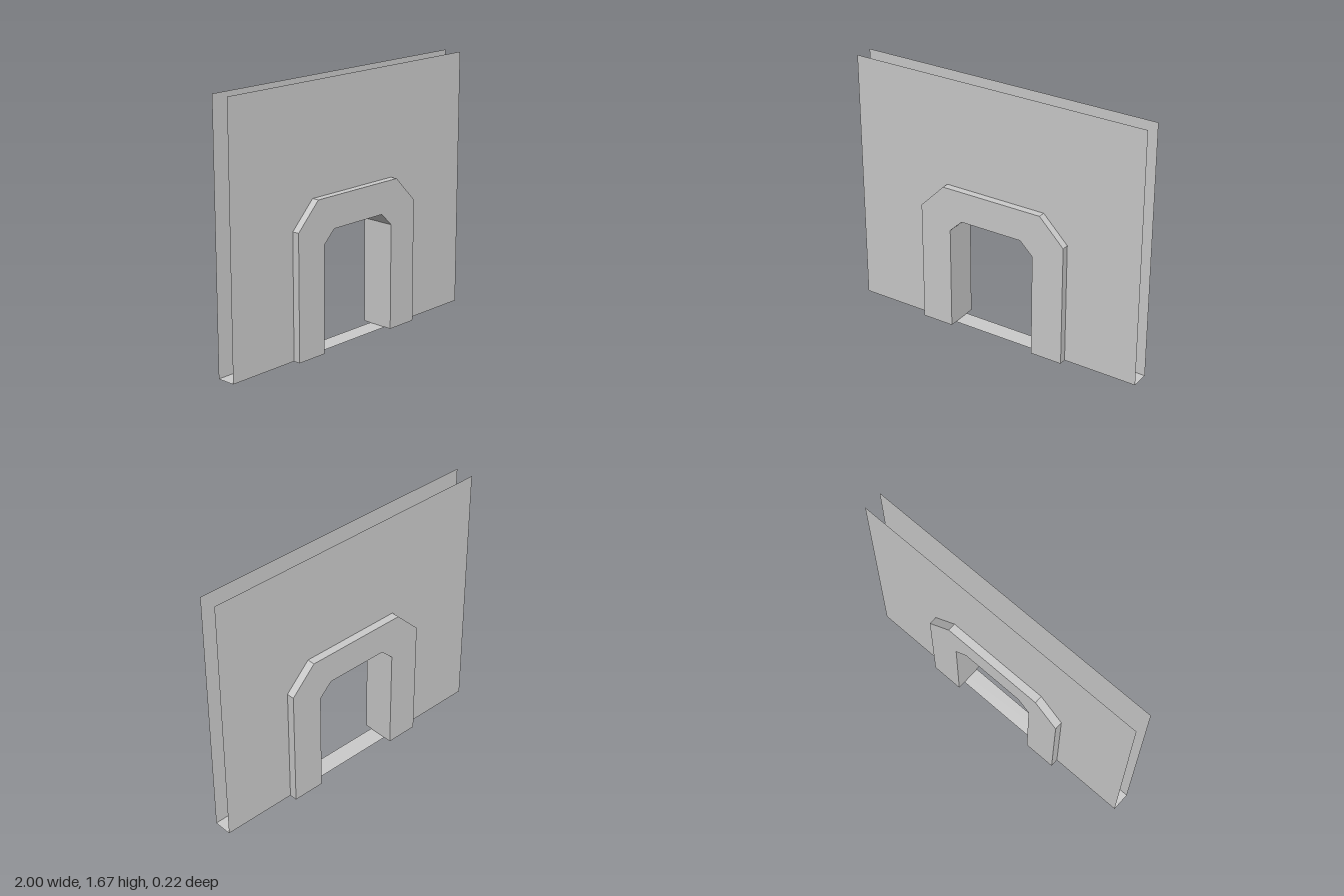
import * as THREE from 'three';

const material = new THREE.MeshStandardMaterial({ color: 0xcccccc, side: THREE.DoubleSide, flatShading: true });

// Half-profiles (x, y) of the door surround, from the floor up to the lintel
const OUTER = [[0.51, 0], [0.51, 0.8], [0.345, 0.967]];
const INNER = [[0.297, 0], [0.297, 0.682], [0.211, 0.765]];
const ARCH_Z = 0.11;
const PANEL_BACK = -0.058, PANEL_FRONT = 0.063;
const HEIGHT = 1.666;

// Mirrors a half-profile into a full open path running from +x to -x
const mirrored = (half) => [...half, ...half.map(([x, y]) => [-x, y]).reverse()]
  .map(([x, y]) => new THREE.Vector2(x, y));

// Flat outline that wraps over the doorway
const portalShape = (outer) => new THREE.Shape([...outer, ...mirrored(INNER).reverse()]);

// Ribbon of quads: an open path swept straight along z, without end caps
function ribbon(path, z0, z1) {
  const positions = [];
  for (let i = 0; i < path.length - 1; i++) {
    const a = path[i], b = path[i + 1];
    positions.push(
      a.x, a.y, z1, a.x, a.y, z0, b.x, b.y, z0,
      a.x, a.y, z1, b.x, b.y, z0, b.x, b.y, z1);
  }
  const geometry = new THREE.BufferGeometry();
  geometry.setAttribute('position', new THREE.Float32BufferAttribute(positions, 3));
  geometry.computeVertexNormals();
  return geometry;
}

export function createModel() {
  const model = new THREE.Group();
  model.name = 'wallWithDoorway';

  const add = (parent, name, geometry) => {
    const mesh = new THREE.Mesh(geometry, material);
    mesh.name = name;
    parent.add(mesh);
    return mesh;
  };

  // Upright sheet facing forward (+1) or backward (-1)
  const addSheet = (parent, name, outer, z, facing) => {
    const mesh = add(parent, name, new THREE.ShapeGeometry(portalShape(outer)));
    mesh.position.z = z;
    if (facing < 0) mesh.rotation.y = Math.PI;
  };

  // Hollow wall: two thin panels, open at the top and ends
  const wall = new THREE.Group();
  wall.name = 'wall';
  model.add(wall);
  const wallOutline = mirrored([[1, 0], [1, HEIGHT]]);
  addSheet(wall, 'frontPanel', wallOutline, PANEL_FRONT, 1);
  addSheet(wall, 'backPanel', wallOutline, PANEL_BACK, -1);

  // Floor strip joining the panels, running through the doorway
  const floor = [new THREE.Vector2(1, 0), new THREE.Vector2(-1, 0)];
  add(wall, 'floorStrip', ribbon(floor.reverse(), PANEL_BACK, PANEL_FRONT));

  // Raised chamfered surround, open underneath
  const surround = new THREE.Group();
  surround.name = 'doorSurround';
  model.add(surround);
  addSheet(surround, 'surroundFront', mirrored(OUTER), ARCH_Z, 1);
  addSheet(surround, 'surroundBack', mirrored(OUTER), -ARCH_Z, -1);
  add(surround, 'surroundOuterSides', ribbon(mirrored(OUTER), -ARCH_Z, ARCH_Z));
  add(surround, 'doorwayLining', ribbon(mirrored(INNER).reverse(), -ARCH_Z, ARCH_Z));

  return model;
}
